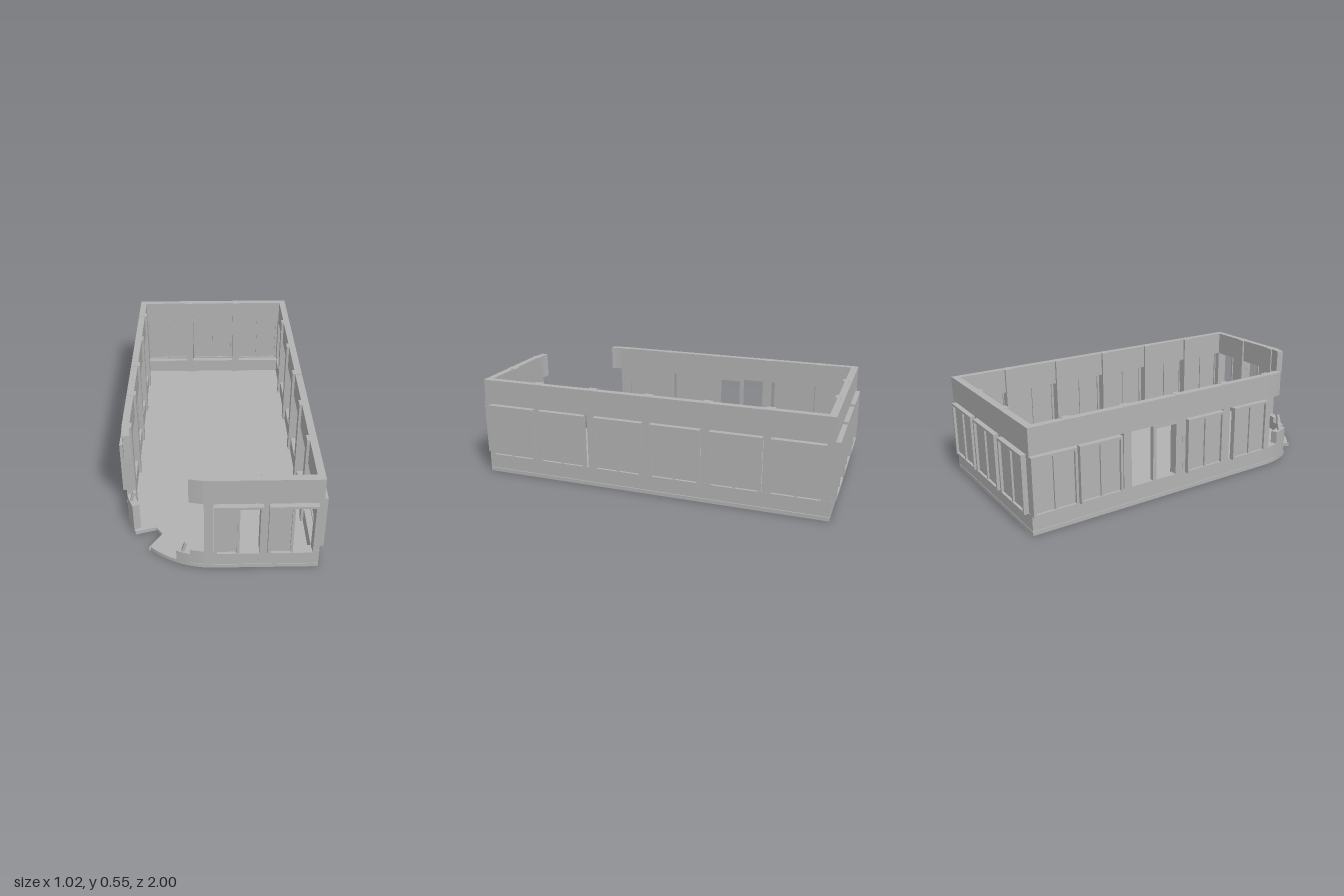
import * as THREE from 'three';

const grey = new THREE.MeshStandardMaterial({ color: 0xb2b2b2 });
grey.name = 'plain grey';

// Plan of the cabin: straight walls and one rounded corner
const X0 = -0.49, X1 = 0.485, Z0 = -0.975, Z1 = 0.97, T = 0.038;
const CX = -0.03, CZ = 0.51, R = 0.46;
const rad = (d) => d * Math.PI / 180;

export function createModel() {
  const model = new THREE.Group();
  model.name = 'cabinShell';

  function add(parent, name, geometry) {
    const mesh = new THREE.Mesh(geometry, grey);
    mesh.name = name;
    parent.add(mesh);
    return mesh;
  }
  // Box from its minimum and maximum corners
  function box(parent, name, a, b) {
    const m = add(parent, name, new THREE.BoxGeometry(b[0] - a[0], b[1] - a[1], b[2] - a[2]));
    m.position.set((a[0] + b[0]) / 2, (a[1] + b[1]) / 2, (a[2] + b[2]) / 2);
    return m;
  }
  // Plan shape (x, z) raised from y0 to y1
  function slab(name, shape, y0, y1) {
    const g = new THREE.ExtrudeGeometry(shape, { depth: y1 - y0, bevelEnabled: false, curveSegments: 10 });
    g.rotateX(Math.PI / 2).translate(0, y1, 0);
    return add(model, name, g);
  }

  // Floor with a notch in the rounded corner
  const floor = new THREE.Shape();
  floor.moveTo(X1, Z1);
  floor.lineTo(X1, Z0);
  floor.lineTo(X0, Z0);
  floor.lineTo(X0, CZ);
  floor.absarc(CX, CZ, R, Math.PI, rad(152), true);
  floor.lineTo(-0.33, 0.695);
  floor.lineTo(-0.295, 0.745);
  floor.lineTo(-0.36, 0.845);
  floor.absarc(CX, CZ, R, rad(134), rad(90), true);
  floor.closePath();
  slab('floor', floor, 0, 0.021);

  // Wall bands run round the cabin and stop at the entrance
  function ring() {
    const s = new THREE.Shape();
    const from = rad(105), to = rad(167), r = R - T;
    s.absarc(CX, CZ, R, from, rad(90), true);
    s.lineTo(X1, Z1);
    s.lineTo(X1, Z0);
    s.lineTo(X0, Z0);
    s.absarc(CX, CZ, R, Math.PI, to, true);
    s.absarc(CX, CZ, r, to, Math.PI, false);
    s.lineTo(X0 + T, Z0 + T);
    s.lineTo(X1 - T, Z0 + T);
    s.lineTo(X1 - T, Z1 - T);
    s.absarc(CX, CZ, r, rad(90), from, false);
    s.closePath();
    return s;
  }
  slab('lowerWall', ring(), 0.024, 0.108);
  slab('upperWall', ring(), 0.412, 0.55);

  // Posts between the windows, standing slightly proud inside
  const W = 0.023, PY = [0.024, 0.551];
  for (const z of [-0.65, -0.325, 0, 0.32, 0.643])
    box(model, 'leftPost', [X1 - 0.052, PY[0], z - W], [X1 - 0.001, PY[1], z + W]);
  for (const z of [-0.76, -0.435, -0.11, 0.21, 0.515])
    box(model, 'rightPost', [X0 + 0.001, PY[0], z - W], [X0 + 0.05, PY[1], z + W]);
  for (const x of [-0.165, 0.155])
    box(model, 'backPost', [x - W, PY[0], Z0 + 0.001], [x + W, PY[1], Z0 + 0.05]);
  for (const x of [-0.055, 0.213])
    box(model, 'frontPost', [x - W, PY[0], Z1 - 0.05], [x + W, PY[1], Z1 + 0.001]);
  // Corner posts
  for (const [x, z] of [[X0, Z0], [X1 - T, Z0], [X1 - T, Z1 - T]])
    box(model, 'cornerPost', [x + 0.001, PY[0], z + 0.001], [x + T - 0.001, PY[1] - 0.002, z + T - 0.001]);

  // Two-light window, built facing +z and then turned onto its wall
  function windowUnit(name, x, z, turn, width, panes) {
    const g = new THREE.Group();
    g.name = name;
    const h = width / 2, f = 0.013, y0 = 0.105, y1 = 0.41, d = 0.025;
    for (const y of [y0, y1 - f]) box(g, 'rail', [-h, y, -0.004], [h, y + f, d]);
    for (const s of [-h, h - f]) box(g, 'stile', [s, y0 + f, -0.004], [s + f, y1 - f, d]);
    box(g, 'mullion', [-f / 2, y0 + f, -0.004], [f / 2, y1 - f, d - 0.004]);
    panes.forEach((on, i) => {
      const a = i ? f / 2 : f - h, b = i ? h - f : -f / 2;
      if (on) box(g, 'pane', [a, y0 + f, 0.004], [b, y1 - f, 0.011]);
    });
    g.position.set(x, 0, z);
    g.rotation.y = turn;
    model.add(g);
  }
  const both = [true, true];
  for (const z of [-0.803, -0.487, -0.163, 0.158, 0.49, 0.8])
    windowUnit('leftWindow', X1, z, Math.PI / 2, 0.275, both);
  for (const z of [-0.855, -0.6, 0.05, 0.368])
    windowUnit('rightWindow', X0, z, -Math.PI / 2, 0.242, both);
  for (const x of [-0.318, -0.002, 0.308])
    windowUnit('backWindow', x, Z0, Math.PI, 0.275, both);
  for (const x of [0.086, 0.345])
    windowUnit('frontWindow', x, Z1, 0, 0.232, [true, false]);

  // Loose open sash standing in the unglazed bay
  for (const z of [-0.28, -0.09]) box(model, 'sashStile', [X0, 0.108, z], [X0 + 0.025, 0.395, z + 0.02]);
  box(model, 'sashRail', [X0, 0.395, -0.28], [X0 + 0.025, 0.411, -0.07]);

  // Curved stumps with small levers either side of the entrance
  function stump(name, a0, a1, top) {
    const s = new THREE.Shape();
    s.absarc(CX, CZ, R, rad(a0), rad(a1), false);
    s.absarc(CX, CZ, R - T, rad(a1), rad(a0), true);
    s.closePath();
    slab(name, s, 0.021, top);
    const mid = rad((a0 + a1) / 2), r = R - T / 2;
    const lever = add(model, name + 'Lever', new THREE.BoxGeometry(0.014, 0.07, 0.02));
    lever.position.set(CX + r * Math.cos(mid), top + 0.02, CZ + r * Math.sin(mid));
    lever.rotation.z = -0.3;
  }
  stump('frontStump', 105, 114, 0.08);
  stump('sideStump', 154, 167, 0.18);

  return model;
}
